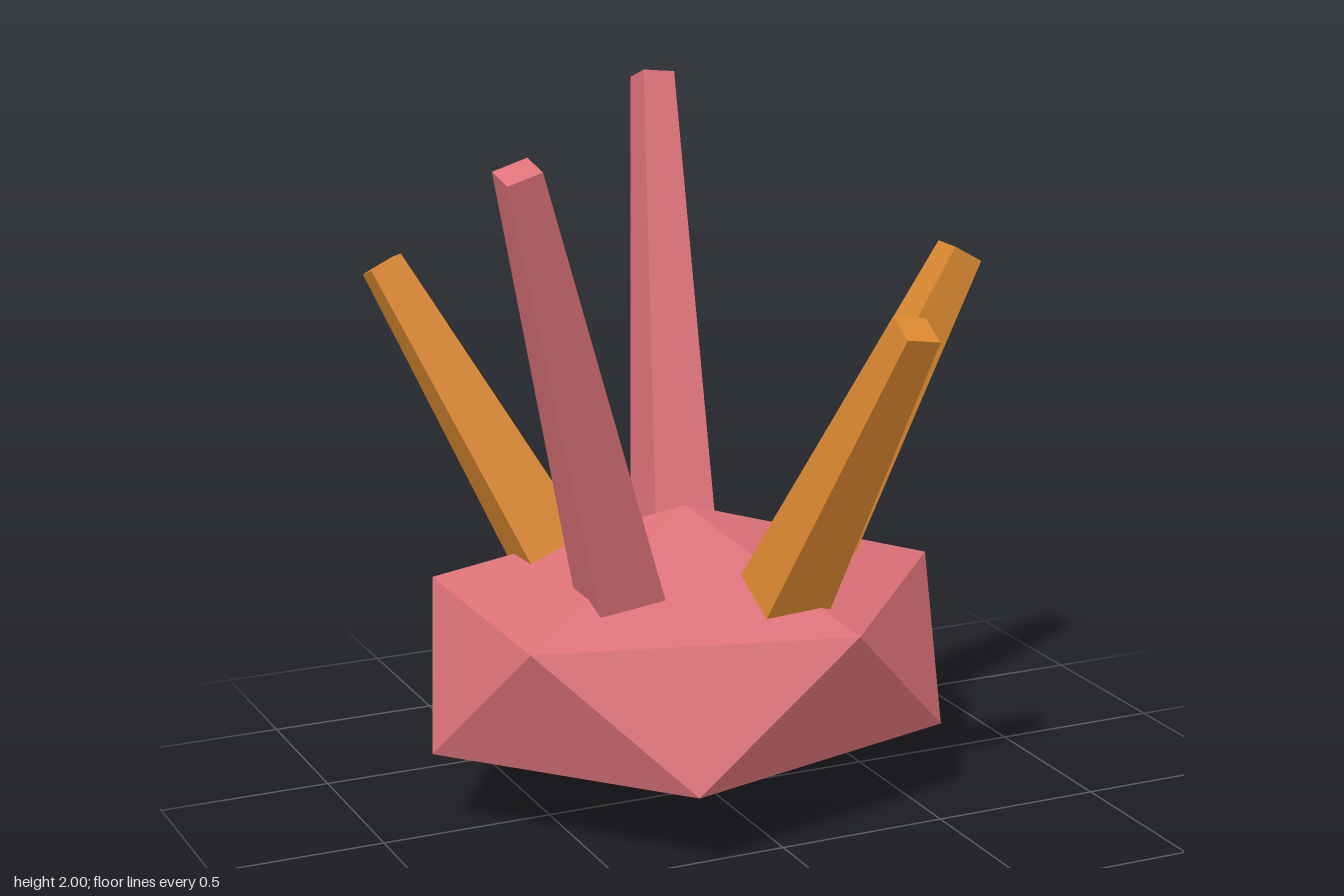
import * as THREE from 'three';

export function createModel() {
  const model = new THREE.Group();
  model.name = 'spikedRock';

  const red = new THREE.MeshStandardMaterial({ color: 0xdc7278, flatShading: true });
  red.name = 'dusty red';
  const orange = new THREE.MeshStandardMaterial({ color: 0xdc8930, flatShading: true });
  orange.name = 'amber orange';

  // Squashed icosahedron, turned so one corner points straight up
  const bodyGeometry = new THREE.IcosahedronGeometry(1, 0);
  bodyGeometry.rotateZ(-Math.atan(2 / (1 + Math.sqrt(5))));
  bodyGeometry.scale(0.872, 0.436, 0.727);
  const body = new THREE.Mesh(bodyGeometry, red);
  body.name = 'body';
  body.position.set(-0.07, 0.441, 0);
  model.add(body);

  // Tapered square spike from a point on the body to its tip, rooted inside the body
  const up = new THREE.Vector3(0, 1, 0);
  const rootDepth = 0.13;
  function addSpike(name, material, base, tip) {
    const end = new THREE.Vector3(...tip);
    const axis = end.clone().sub(new THREE.Vector3(...base));
    const length = axis.length() + rootDepth;
    axis.normalize();
    const geometry = new THREE.CylinderGeometry(0.05 * Math.SQRT2, 0.1 * Math.SQRT2, length, 4);
    geometry.rotateY(Math.PI / 4);
    const spike = new THREE.Mesh(geometry, material);
    spike.name = name;
    spike.quaternion.setFromUnitVectors(up, axis);
    spike.position.copy(end).addScaledVector(axis, -length / 2);
    model.add(spike);
  }

  addSpike('leftSpike', orange, [0.343, 0.732, 0], [0.806, 1.538, 0]);
  addSpike('frontSpike', orange, [0.056, 0.71, 0.39], [0.211, 1.54, 0.835]);
  addSpike('frontRightSpike', red, [-0.375, 0.72, 0.225], [-0.772, 1.977, 0.525]);
  addSpike('backRightSpike', orange, [-0.4, 0.73, -0.235], [-0.785, 1.543, -0.508]);
  addSpike('backSpike', red, [0.05, 0.718, -0.358], [0.2, 1.977, -0.83]);

  return model;
}
